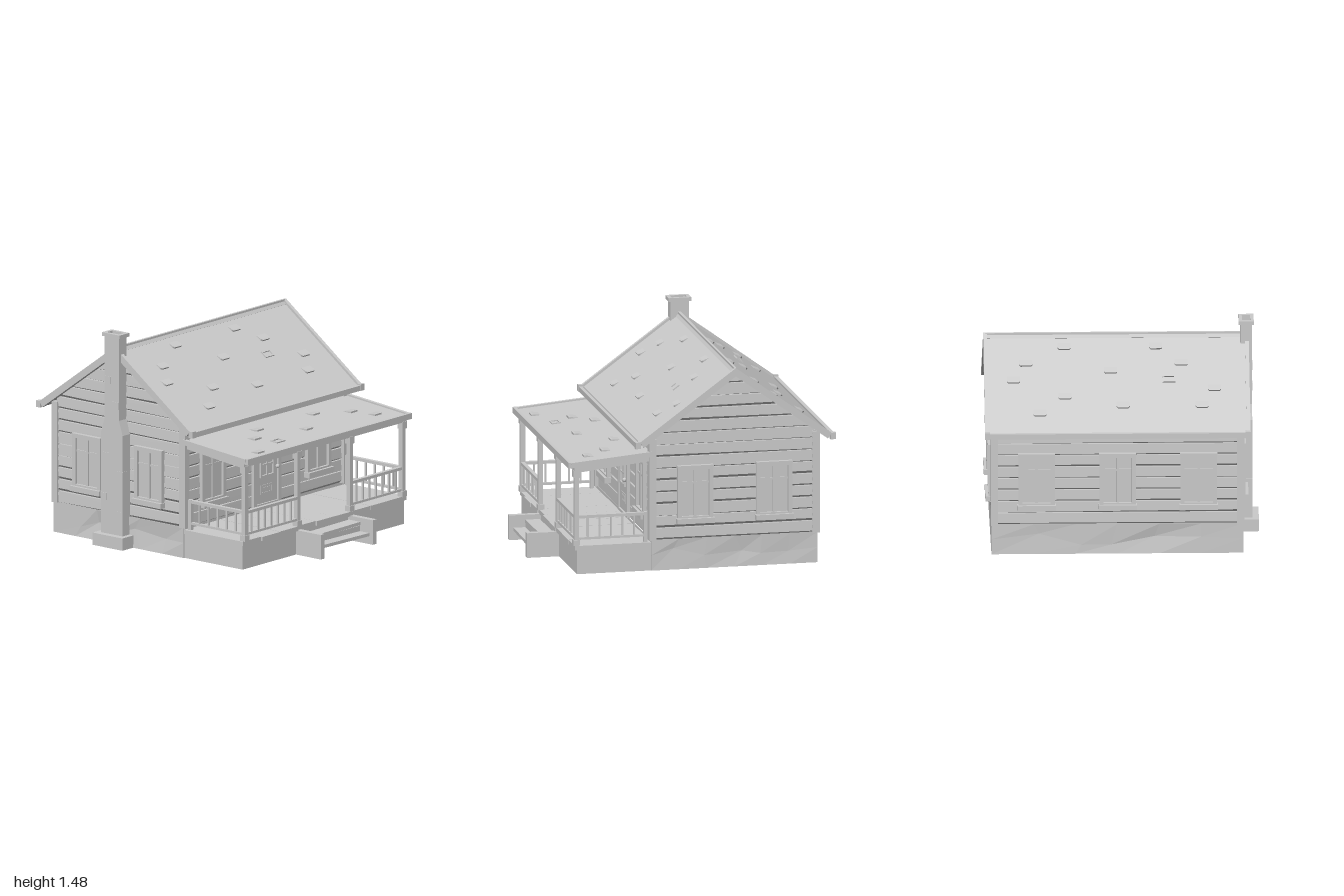
import * as THREE from 'three';
import { ConvexGeometry } from 'three/addons/geometries/ConvexGeometry.js';

const mat = new THREE.MeshStandardMaterial({ color: 0xcccccc, flatShading: true });
const matDouble = new THREE.MeshStandardMaterial({ color: 0xcccccc, flatShading: true, side: THREE.DoubleSide });

let seed = 7;
const rand = () => (seed = (seed * 16807) % 2147483647) / 2147483647;

function add(parent, name, geo, x = 0, y = 0, z = 0, m = mat) {
  const mesh = new THREE.Mesh(geo, m);
  mesh.name = name;
  mesh.position.set(x, y, z);
  parent.add(mesh);
  return mesh;
}
const box = (p, name, w, h, d, x, y, z) => add(p, name, new THREE.BoxGeometry(w, h, d), x, y, z);
function group(parent, name, x = 0, y = 0, z = 0, ry = 0) {
  const g = new THREE.Group();
  g.name = name;
  g.position.set(x, y, z);
  g.rotation.y = ry;
  parent.add(g);
  return g;
}
const extrude = (shape, depth) => new THREE.ExtrudeGeometry(shape, { depth, bevelEnabled: false, curveSegments: 8 });
function rectShape(w, h, holeW, holeH) {
  const rect = (T, a, b) => new T([[-a, -b], [a, -b], [a, b], [-a, b]].map(([x, y]) => new THREE.Vector2(x / 2, y / 2)));
  const s = rect(THREE.Shape, w, h);
  s.holes.push(rect(THREE.Path, holeW, holeH));
  return s;
}

// House proportions, measured from the middle of the house
const HX = 0.84, HZ = 0.565, RIDGE = 1.38, SLOPE = 0.728, FLOOR = 0.205;
const TILT = Math.atan(SLOPE);

// Uneven lap boards, cut to the roof line on the gable walls
function siding(wall, half, dist, gable) {
  const step = 0.0815, top = gable ? 1.32 : 0.91;
  const halfAt = y => gable ? Math.min(half, (1.335 - y) / SLOPE) : half;
  for (let y = FLOOR; y < top - 0.02; y += step) {
    const y1 = Math.min(y + step, top), pts = [];
    for (const s of [-1, 1]) {
      const lip = y + 0.004 + rand() * 0.018;
      for (const [py, pz] of [[y, -0.022], [lip, 0], [y1, -0.003], [y1, -0.03]])
        pts.push(new THREE.Vector3(s * Math.max(halfAt(py), 0.004), py, dist + pz));
    }
    add(wall, 'sidingBoard', new ConvexGeometry(pts));
  }
}

// Framed window with mullions and sill
function windowUnit(wall, x, dist) {
  const g = group(wall, 'window', x, 0.525, dist);
  add(g, 'windowFrame', extrude(rectShape(0.245, 0.375, 0.19, 0.32), 0.04), 0, 0, -0.015);
  box(g, 'windowPane', 0.2, 0.33, 0.02, 0, 0, -0.005);
  box(g, 'mullion', 0.018, 0.32, 0.014, 0, 0, 0.009);
  box(g, 'crossBar', 0.19, 0.014, 0.01, 0, 0.07, 0.007);
  box(g, 'windowSill', 0.26, 0.036, 0.06, 0, -0.19, 0.015);
  box(g, 'windowHead', 0.25, 0.014, 0.045, 0, 0.183, 0.006);
}

// Panelled door with an arched six-light window
function door(wall, dist) {
  const g = group(wall, 'door', 0.0125, FLOOR, dist);
  add(g, 'doorFrame', extrude(rectShape(0.285, 0.5, 0.225, 0.46), 0.035), 0, 0.25, -0.015);
  box(g, 'doorLeaf', 0.23, 0.47, 0.02, 0, 0.235, -0.002);
  const arch = (T, r, base) => new T().moveTo(-r, base).lineTo(r, base).lineTo(r, 0.375)
    .absarc(0, 0.375, r, 0, Math.PI, false).lineTo(-r, base);
  const ring = arch(THREE.Shape, 0.072, 0.2);
  ring.holes.push(arch(THREE.Path, 0.058, 0.214));
  add(g, 'archTrim', extrude(ring, 0.018), 0, 0, 0.005);
  box(g, 'doorMullion', 0.012, 0.225, 0.014, 0, 0.32, 0.012);
  for (const y of [0.285, 0.36]) box(g, 'doorCrossBar', 0.12, 0.012, 0.014, 0, y, 0.012);
  add(g, 'letterPlate', extrude(rectShape(0.12, 0.065, 0.095, 0.04), 0.006), 0, 0.113, 0.006);
  box(g, 'letterFlap', 0.085, 0.03, 0.006, 0, 0.113, 0.009);
  add(g, 'doorKnob', new THREE.SphereGeometry(0.015, 8, 6), 0.095, 0.255, 0.026);
}

// Raised shingles; those marked 1 are only a loose outline
function shingles(slope, list, y, w, d) {
  for (const [x, z, loose] of list) {
    if (loose) {
      const m = add(slope, 'looseShingle', extrude(rectShape(w, d, w - 0.02, d - 0.02), 0.008), x, y, z);
      m.rotation.x = -Math.PI / 2;
      continue;
    }
    const pts = [];
    for (const s of [-1, 1])
      for (const [k, py, pz] of [[0.5, -0.004, -0.5], [0.5, 0.001, -0.5], [0.5, 0.012, 0.3], [0.4, 0.012, 0.5], [0.4, -0.004, 0.5], [0.5, -0.004, 0.3]])
        pts.push(new THREE.Vector3(s * k * w, py, pz * d));
    add(slope, 'shingle', new ConvexGeometry(pts), x, y, z);
  }
}

// Hollow skirt wall with a roughly hewn surface
function skirt(parent, width, height, dist, ry, rough) {
  const wall = group(parent, 'foundationWall', 0, 0, 0, ry);
  const geo = new THREE.PlaneGeometry(width, height, rough ? 6 : 1, rough ? 2 : 1);
  const p = geo.attributes.position;
  for (let i = 0; i < p.count; i++)
    if (Math.abs(p.getX(i)) < width / 2 - 0.01 && Math.abs(p.getY(i)) < height / 2 - 0.01) {
      p.setZ(i, -rand() * rough);
      p.setX(i, p.getX(i) + (rand() - 0.5) * 0.12);
      p.setY(i, p.getY(i) + (rand() - 0.5) * 0.1);
    }
  add(wall, 'foundationFace', geo, 0, height / 2, dist, matDouble);
}

// Railing between two points on the porch
function railing(parent, x0, z0, x1, z1, n) {
  const len = Math.hypot(x1 - x0, z1 - z0);
  const g = group(parent, 'railing', (x0 + x1) / 2, 0, (z0 + z1) / 2, Math.atan2(z0 - z1, x1 - x0));
  box(g, 'topRail', len, 0.02, 0.028, 0, 0.392, 0);
  box(g, 'bottomRail', len, 0.016, 0.02, 0, 0.242, 0);
  for (let i = 1; i <= n; i++)
    box(g, 'baluster', 0.012, 0.145, 0.012, -len / 2 + len * i / (n + 1), 0.315, 0);
}

function buildHouse(root) {
  const house = group(root, 'house', 0.03, 0, -0.305);
  const profile = new THREE.Shape([[-0.545, 0.19], [0.545, 0.19], [0.545, 0.92], [0, 1.32], [-0.545, 0.92]]
    .map(([a, b]) => new THREE.Vector2(a, b)));
  add(house, 'wallCore', extrude(profile, 1.64), -0.82).rotation.y = Math.PI / 2;

  for (let i = 0; i < 4; i++) {
    const gable = i % 2 === 1, ry = i * Math.PI / 2;
    const half = gable ? HZ : HX, dist = gable ? HX : HZ;
    const wall = group(house, ['frontWall', 'leftWall', 'backWall', 'rightWall'][i], 0, 0, 0, ry);
    siding(wall, half, dist, gable);
    const spots = gable ? [-0.272, 0.272] : i === 0 ? [-0.547, 0.547] : [-0.545, 0, 0.545];
    for (const x of spots) windowUnit(wall, x, dist);
    if (i === 0) door(wall, dist);
    skirt(house, (half + 0.008) * 2, 0.21, dist + 0.008, ry, i === 0 ? 0 : 0.016);
  }
  for (const sx of [-1, 1]) for (const sz of [-1, 1])
    box(house, 'cornerBoard', 0.05, 0.7, 0.05, sx * 0.828, 0.555, sz * 0.563);

  // Two matching roof slopes, the deck sunk between raised edge boards
  const L = 0.66 / Math.cos(TILT);
  const marks = [[-0.35, 0.085], [-0.61, 0.195], [-0.695, 0.305], [-0.35, 0.415], [-0.52, 0.525], [-0.04, 0.245],
    [0.265, 0.085], [0.435, 0.195], [0.35, 0.305, 1], [0.04, 0.475], [0.655, 0.365], [0.57, 0.475]];
  for (const ry of [0, Math.PI]) {
    const side = group(house, ry ? 'backRoof' : 'frontRoof', 0, 0, 0, ry);
    const slope = group(side, 'roofSlope', 0, RIDGE - 0.004);
    slope.rotation.x = TILT;
    box(slope, 'roofDeck', 1.75, 0.026, L, 0, -0.027, L / 2);
    for (const s of [-1, 1]) box(slope, 'bargeBoard', 0.026, 0.046, L, s * 0.8795, -0.021, L / 2);
    shingles(slope, marks.map(([x, z, k]) => [x, z / Math.cos(TILT), k]), -0.014, 0.088, 0.055);
    box(side, 'eaveBoard', 1.76, 0.036, 0.026, 0, 0.872, 0.674);
    for (const s of [-1, 1]) box(side, 'eaveEnd', 0.035, 0.045, 0.036, s * 0.876, 0.876, 0.672);
  }
  box(house, 'ridgeCap', 1.75, 0.024, 0.018, 0, RIDGE - 0.015, 0);
}

function buildPorch(root) {
  const porch = group(root, 'porch', 0.03, 0, 0.525);
  for (const [w, d, ry] of [[1.68, 0.255, 0], [0.51, 0.84, Math.PI / 2], [0.51, 0.84, -Math.PI / 2]])
    skirt(porch, w, 0.17, d, ry, 0);

  // Floor boards with uneven front ends
  const n = 9, w = 1.7 / n;
  for (let i = 0; i < n; i++) {
    const d = 0.52 + rand() * 0.015;
    box(porch, 'floorBoard', w - 0.002, 0.028 + rand() * 0.004, d, -0.85 + w * (i + 0.5), 0.182, -0.255 + d / 2);
  }

  // Posts, railings and beams
  const posts = [-0.815, -0.27, 0.275, 0.82];
  for (const x of posts) {
    box(porch, 'post', 0.032, 0.53, 0.032, x, 0.46, 0.255);
    box(porch, 'postBase', 0.046, 0.04, 0.044, x, 0.215, 0.255);
    box(porch, 'postCap', 0.048, 0.05, 0.044, x, 0.69, 0.255);
  }
  railing(porch, posts[0], 0.255, posts[1], 0.255, 7);
  railing(porch, posts[2], 0.255, posts[3], 0.255, 7);
  for (const x of [posts[0], posts[3]]) {
    railing(porch, x, 0.255, x, -0.225, 5);
    box(porch, 'wallPost', 0.028, 0.21, 0.025, x, 0.3, -0.222);
    box(porch, 'sideBeam', 0.032, 0.04, 0.51, x, 0.745, 0.01).rotation.x = 0.11;
  }
  box(porch, 'frontBeam', 1.69, 0.04, 0.036, 0, 0.73, 0.255);

  // Shallow porch roof
  const roof = group(porch, 'porchRoof', 0, 0.822, -0.26);
  roof.rotation.x = 0.09;
  box(roof, 'porchDeck', 1.69, 0.022, 0.56, 0, -0.022, 0.28);
  for (const s of [-1, 1]) box(roof, 'porchEdge', 0.024, 0.036, 0.56, s * 0.8455, -0.018, 0.28);
  shingles(roof, [[-0.25, 0.145], [0.335, 0.145], [-0.415, 0.265], [0.585, 0.265], [0.04, 0.335],
    [-0.335, 0.4, 1], [0.67, 0.405], [-0.63, 0.475]], -0.011, 0.084, 0.062);
  box(porch, 'porchFascia', 1.71, 0.04, 0.024, 0, 0.754, 0.302);

  // Front steps between two side boards
  const steps = group(porch, 'steps', 0.005, 0, 0.255);
  for (const s of [-1, 1]) box(steps, 'stepSide', 0.04, 0.17, 0.22, s * 0.27, 0.085, 0.11);
  box(steps, 'upperTread', 0.51, 0.022, 0.1, 0, 0.128, 0.06).rotation.z = 0.012;
  box(steps, 'lowerTread', 0.51, 0.022, 0.1, 0, 0.07, 0.14).rotation.z = -0.015;
  box(steps, 'stepRiser', 0.51, 0.04, 0.015, 0, 0.096, 0.1);
}

function buildChimney(root) {
  const chimney = group(root, 'chimney', -0.845, 0, -0.308);
  box(chimney, 'chimneyBase', 0.13, 0.085, 0.262, -0.02, 0.0425, 0);
  const outline = [[0.095, 0.05], [0.095, 0.78], [0.063, 0.88], [0.063, 1.4]];
  const pts = [...outline, ...outline.map(([a, b]) => [-a, b]).reverse()].map(([a, b]) => new THREE.Vector2(a, b));
  add(chimney, 'chimneyStack', extrude(new THREE.Shape(pts), 0.08), -0.04).rotation.y = Math.PI / 2;
  // A few proud stones
  for (const [y, z, h] of [[0.22, 0.06, 0.06], [0.34, -0.07, 0.05], [0.5, 0.07, 0.06], [0.62, -0.05, 0.05], [0.98, 0.035, 0.05], [1.15, -0.035, 0.05]])
    box(chimney, 'stone', 0.05, h, 0.055, -0.018, y, z);
  // Open flue with a thin overhanging rim
  for (const [y, w, d, h] of [[1.4, 0.08, 0.126, 0.052], [1.45, 0.102, 0.156, 0.025]])
    add(chimney, 'chimneyTop', extrude(rectShape(w, d, 0.056, 0.104), h), 0, y).rotation.x = -Math.PI / 2;
}

export function createModel() {
  seed = 7;
  const root = new THREE.Group();
  root.name = 'cabin';
  buildHouse(root);
  buildPorch(root);
  buildChimney(root);
  return root;
}
